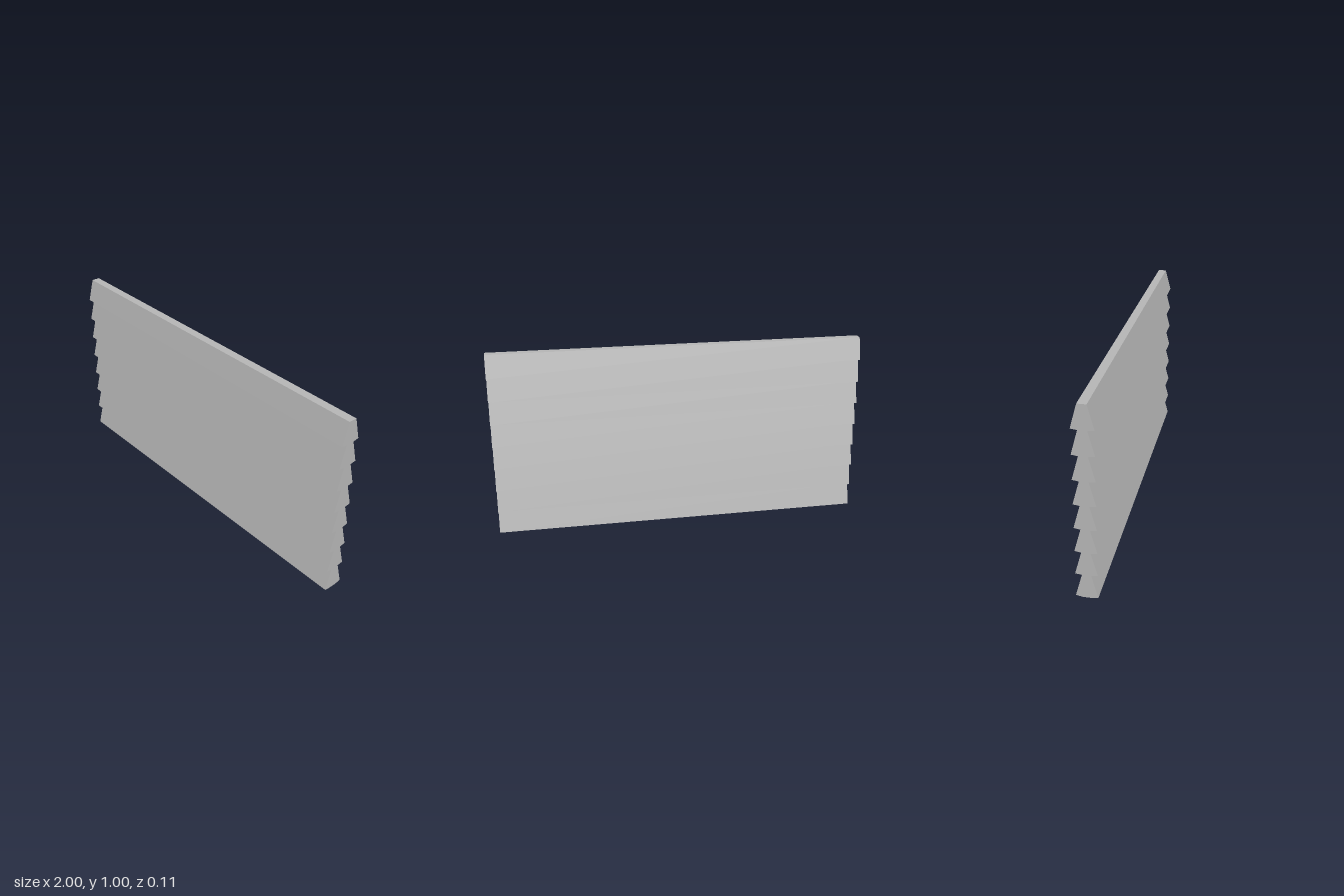
import * as THREE from 'three';

const LENGTH = 2, HEIGHT = 1, BOARDS = 8;
const PITCH = HEIGHT / BOARDS;
const NECK = 0.022; // half thickness at the top of each board
const LIP = 0.054;  // half thickness at the bottom of each board
const RISE = 0.006; // upward slant of the underside of each lip

export function createModel() {
  const group = new THREE.Group();
  group.name = 'claddingWall';
  const grey = new THREE.MeshStandardMaterial({ color: 0xb4b4b4 });
  grey.name = 'grey';

  // Saw-tooth side of overlapping boards, from bottom to top
  const side = [];
  for (let i = 0; i < BOARDS; i++) {
    const y = i * PITCH;
    side.push([NECK, y + (i ? 0.002 : 0)], [LIP, y + RISE]);
  }
  side.push([NECK, HEIGHT]);

  // Mirror the side to close the wall's cross-section
  const outline = [...side, ...side.map(([z, y]) => [-z, y]).reverse()];
  const shape = new THREE.Shape(outline.map(([z, y]) => new THREE.Vector2(z, y)));

  // Run the section along the wall's length
  const geometry = new THREE.ExtrudeGeometry(shape, { depth: LENGTH, bevelEnabled: false });
  geometry.translate(0, 0, -LENGTH / 2);
  geometry.rotateY(Math.PI / 2);

  const wall = new THREE.Mesh(geometry, grey);
  wall.name = 'lappedBoards';
  group.add(wall);
  return group;
}
